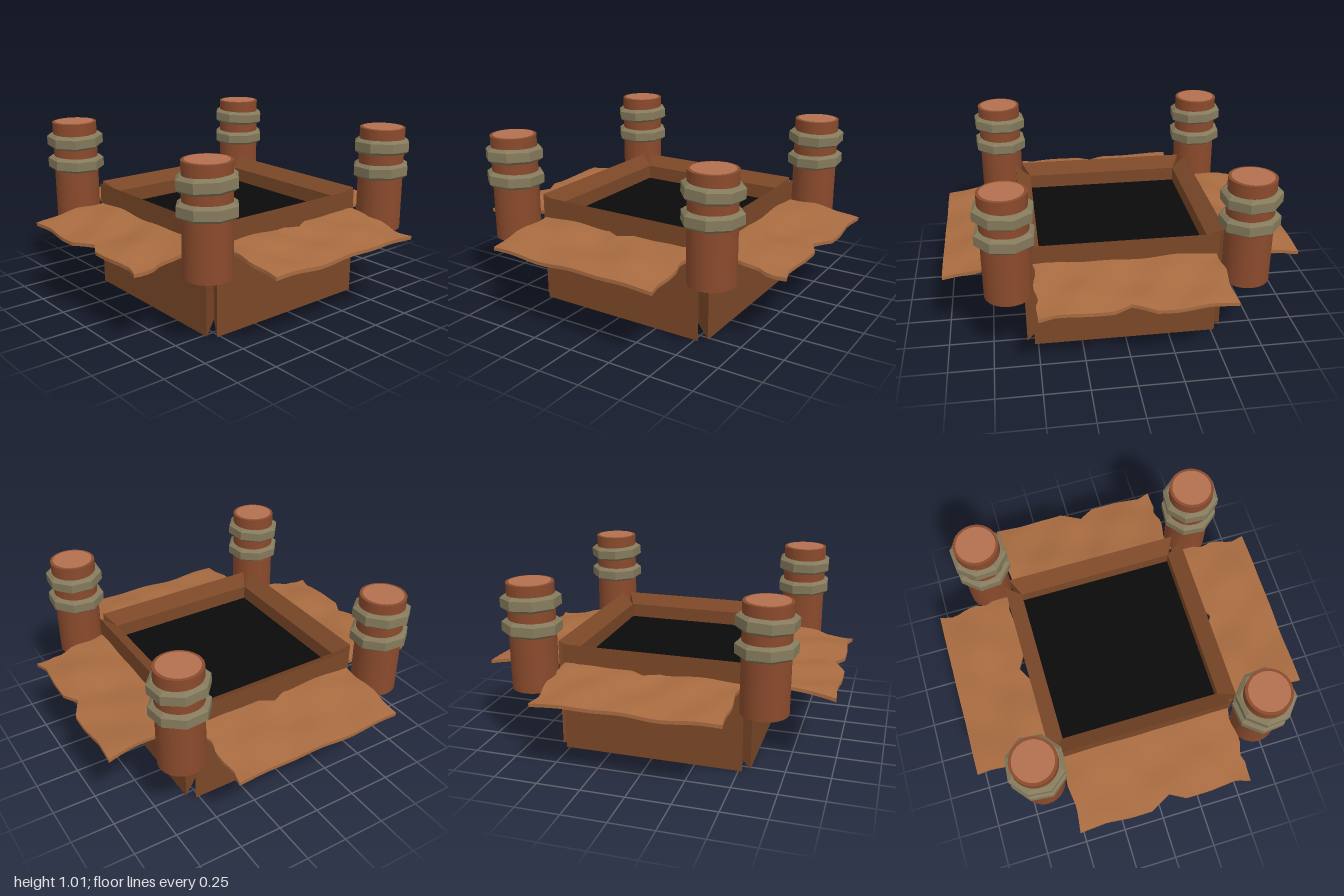
import * as THREE from 'three';

const mat = (color, extra = {}) => new THREE.MeshStandardMaterial({ color, ...extra });

// Piecewise-linear lookup through [position, value] pairs
function lookup(points, s) {
  if (s <= points[0][0]) return points[0][1];
  for (let i = 1; i < points.length; i++) {
    const [a, va] = points[i - 1], [b, vb] = points[i];
    if (s <= b) return va + (vb - va) * (s - a) / (b - a);
  }
  return points[points.length - 1][1];
}

// How deep the torn edge is cut along its length, and the ragged short sides
const TEAR = [[-0.52, 0], [-0.36, 0.012], [-0.22, 0], [-0.09, 0], [0.03, 0.065],
  [0.12, 0.015], [0.27, 0.015], [0.43, 0.03], [0.52, 0]];
const RAGGED_A = [[0, 0.01], [0.25, 0.005], [0.38, 0.026], [0.45, 0], [0.62, 0], [0.8, 0.022], [1, 0]];
const RAGGED_B = [[0, 0], [0.3, 0.018], [0.6, 0], [0.8, 0.014], [1, 0.01]];

// Torn sheet sloping down along +z; the tear faces outward or inward
function flapGeometry(mirror, tearOutside) {
  const thickness = 0.02, inner = 0.54, outer = 0.998;
  const g = new THREE.BoxGeometry(2, thickness, 1, 34, 1, 12);
  const p = g.attributes.position;
  for (let i = 0; i < p.count; i++) {
    const t = p.getZ(i) + 0.5;
    const s = p.getX(i) * mirror;
    const fromTear = tearOutside ? 1 - t : t;
    const side = lookup(s > 0 ? RAGGED_A : RAGGED_B, fromTear);
    const x = s * (0.517 - side * Math.abs(s) ** 8);
    const cut = lookup(TEAR, x);
    const z = tearOutside ? inner + t * (outer - cut - inner)
      : inner + cut + t * (outer - inner - cut);
    const wave = 0.012 * Math.sin(x * 9 + z * 5 + 1.5) + 0.009 * Math.sin(x * 17 - z * 11)
      + 0.005 * Math.sin(z * 23 + x * 5);
    const y = 0.512 - 0.052 * t + wave * (0.35 + 0.65 * fromTear ** 0.5 * (1.2 - fromTear));
    p.setXYZ(i, x * mirror, y + p.getY(i), z);
  }
  g.computeVertexNormals();
  return g;
}

// Wall panel: full-size outer face, smaller inner face, all four edges bevelled
function wallGeometry() {
  const height = 0.635;
  const g = new THREE.BoxGeometry(1.04, height, 0.09).toNonIndexed();
  const p = g.attributes.position;
  for (let i = 0; i < p.count; i++) {
    if (p.getZ(i) < 0) p.setXY(i, p.getX(i) * 0.47 / 0.52, p.getY(i) * 0.525 / height);
  }
  g.translate(0, height / 2, 0.515);
  g.computeVertexNormals();
  return g;
}

export function createModel() {
  const model = new THREE.Group();
  const add = (parent, name, geometry, material) => {
    const mesh = new THREE.Mesh(geometry, material);
    mesh.name = name;
    parent.add(mesh);
    return mesh;
  };

  const wallMat = mat(0x7a4727);
  const flapMat = mat(0xa86b40);
  const postMat = mat(0x8a4a2c);
  const capMat = mat(0xb27050);
  const ringMat = mat(0x857a5c, { flatShading: true });

  // Four walls, each with a torn flap hanging outside
  const wall = wallGeometry();
  const sides = [
    ['front', 0, 1, true], ['left', Math.PI / 2, 1, false],
    ['back', Math.PI, -1, true], ['right', -Math.PI / 2, -1, false],
  ];
  for (const [name, angle, mirror, tearOutside] of sides) {
    add(model, name + 'Wall', wall, wallMat).rotation.y = angle;
    add(model, name + 'Flap', flapGeometry(mirror, tearOutside), flapMat).rotation.y = angle;
  }

  // Dark panel closing the shaft just below the rim
  const floor = add(model, 'darkOpening', new THREE.PlaneGeometry(0.97, 0.97),
    mat(0x0a0a0a, { side: THREE.DoubleSide }));
  floor.rotation.x = -Math.PI / 2;
  floor.position.y = 0.495;

  // Corner posts with two tilted octagonal bands
  const profile = [[0.11, -0.042], [0.143, -0.042], [0.165, -0.026], [0.165, 0.026],
    [0.143, 0.042], [0.11, 0.042]].map(([r, y]) => new THREE.Vector2(r, y));
  const bodyGeo = new THREE.CylinderGeometry(0.13, 0.13, 0.6, 32);
  const capGeo = new THREE.CylinderGeometry(0.114, 0.114, 0.004, 32);
  for (const sx of [-1, 1]) for (const sz of [-1, 1]) {
    const post = new THREE.Group();
    post.name = (sz > 0 ? 'front' : 'back') + (sx > 0 ? 'Left' : 'Right') + 'Post';
    post.position.set(sx * 0.647, 0, sz * 0.647);
    add(post, 'postBody', bodyGeo, postMat).position.y = 0.71;
    add(post, 'postCap', capGeo, capMat).position.y = 1.011;
    [[0.763, 0.03, -0.02], [0.902, 0.04, 0.03]].forEach(([y, tiltZ, tiltX]) => {
      const ring = add(post, 'postBand', new THREE.LatheGeometry(profile, 8, -sx * sz * 0.3), ringMat);
      ring.position.y = y;
      ring.rotation.set(sz * tiltX, 0, sx * tiltZ);
    });
    model.add(post);
  }
  return model;
}
